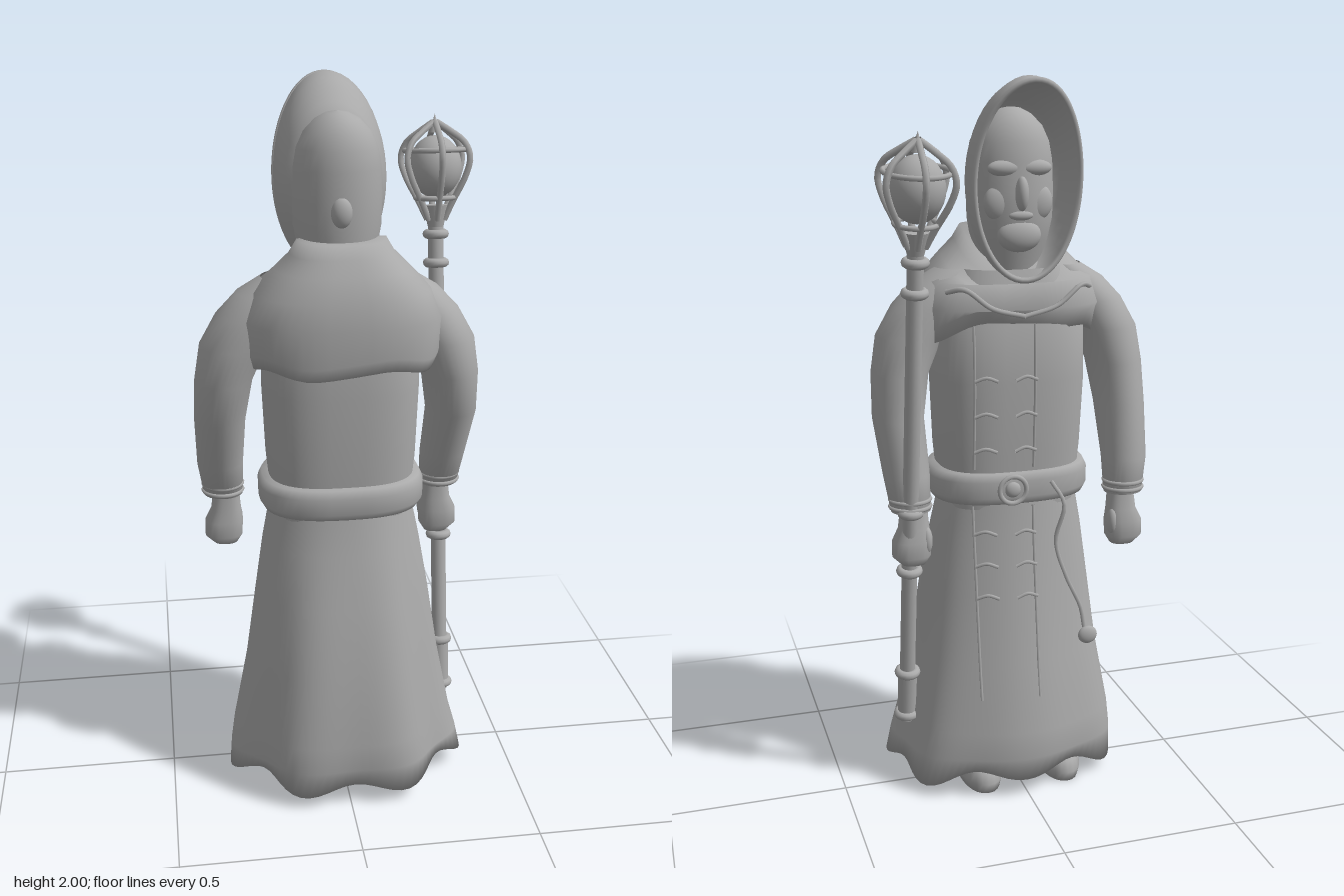
import * as THREE from 'three';

const V = (x, y, z) => new THREE.Vector3(x, y, z);

// Surface through stacked oval rings [height, centreX, centreZ, radiusX, radiusZ]
function loft(rings, seg = 40, n = 2, rule = null) {
  const pos = [], idx = [];
  const pw = (v) => Math.sign(v) * Math.abs(v) ** (2 / n);
  rings.forEach(([y, cx, cz, rx, rz], i) => {
    for (let j = 0; j < seg; j++) {
      const a = (j / seg) * Math.PI * 2;
      const p = V(cx + rx * pw(Math.cos(a)), y, cz + rz * pw(Math.sin(a)));
      if (rule) rule(p, a, i / (rings.length - 1), i);
      pos.push(p.x, p.y, p.z);
      if (i < rings.length - 1) {
        const k = (j + 1) % seg, b = i * seg, u = b + seg;
        idx.push(b + j, u + j, b + k, b + k, u + j, u + k);
      }
    }
  });
  const g = new THREE.BufferGeometry();
  g.setAttribute('position', new THREE.Float32BufferAttribute(pos, 3));
  g.setIndex(idx);
  g.computeVertexNormals();
  return g;
}

const SKIRT = [
  [0.06, 0.01, 0.06, 0.335, 0.25], [0.12, 0.005, 0.06, 0.327, 0.257], [0.2, 0, 0.06, 0.312, 0.256],
  [0.4, 0, 0.065, 0.274, 0.225], [0.6, 0, 0.06, 0.245, 0.192], [0.75, 0, 0.05, 0.221, 0.162],
  [0.87, 0, 0.045, 0.197, 0.147]];
const TORSO = [
  [0.84, 0, 0.045, 0.19, 0.14], [1.0, 0, 0.046, 0.205, 0.154], [1.2, 0, 0.041, 0.213, 0.161],
  [1.35, 0, 0.042, 0.21, 0.158], [1.5, 0, 0.05, 0.15, 0.12]];

// Depth of the robe's chest side at a given place
function robeZ(x, y) {
  const r = y < 0.87 ? SKIRT : TORSO;
  let i = 0;
  while (i < r.length - 2 && r[i + 1][0] < y) i++;
  const t = (y - r[i][0]) / (r[i + 1][0] - r[i][0]);
  const mix = (k) => THREE.MathUtils.lerp(r[i][k], r[i + 1][k], t);
  const n = y < 0.87 ? 2.1 : 2.7;
  return mix(2) - mix(4) * (1 - Math.abs(x / mix(3)) ** n) ** (1 / n);
}

export function createModel() {
  const model = new THREE.Group();
  const grey = new THREE.MeshStandardMaterial({ color: 0xaaaaaa, side: THREE.DoubleSide });
  grey.name = 'stone grey';

  const add = (name, geo, parent = model) => {
    const m = new THREE.Mesh(geo, grey);
    m.name = name;
    parent.add(m);
    return m;
  };
  const ball = (name, x, y, z, a, b, c, parent) => {
    const m = add(name, new THREE.SphereGeometry(1, 24, 16), parent);
    m.position.set(x, y, z);
    m.scale.set(a, b, c);
    return m;
  };
  const tube = (name, pts, r, parent, closed = false, seg = 24) =>
    add(name, new THREE.TubeGeometry(new THREE.CatmullRomCurve3(pts, closed), seg, r, 6, closed), parent);

  // Robe with folds that deepen towards a ragged, turned-in hem
  const lobe = (a) => Math.cos(7 * a - 1.54);
  const hem = [0.1, 0.01, 0.06, 0.25, 0.19];
  add('robeSkirt', loft([hem, ...SKIRT], 84, 2.1, (p, a, t, i) => {
    const f = 1 + 0.055 * lobe(a) * (1 - t) * (1 - 0.6 * Math.max(0, -Math.sin(a)));
    p.x *= f;
    p.z = 0.06 + (p.z - 0.06) * f;
    if (i === 1) p.y += 0.012 * Math.sin(3 * a) - 0.02 * lobe(a);
  }));
  add('robeBody', loft(TORSO, 48, 2.7));
  add('belt', loft([
    [0.855, 0, 0.047, 0.185, 0.135], [0.86, 0, 0.048, 0.217, 0.16], [0.88, 0, 0.05, 0.228, 0.17],
    [0.925, 0, 0.05, 0.229, 0.17], [0.947, 0, 0.048, 0.218, 0.162], [0.952, 0, 0.047, 0.185, 0.135]], 48, 2.6));
  const buckle = add('buckle', new THREE.TorusGeometry(0.038, 0.007, 8, 28));
  buckle.position.set(0.03, 0.905, -0.128);
  ball('buckleStud', 0.03, 0.905, -0.125, 0.022, 0.022, 0.012);

  // Short mantle: long behind, cut higher and flatter over the chest, closed round the neck
  add('mantle', loft([
    [1.29, 0, 0.06, 0.215, 0.16], [1.275, 0.003, 0.06, 0.245, 0.18], [1.31, 0.003, 0.062, 0.258, 0.187],
    [1.4, 0, 0.062, 0.265, 0.188], [1.47, 0, 0.06, 0.235, 0.18], [1.53, 0, 0.062, 0.178, 0.155],
    [1.57, 0, 0.07, 0.138, 0.12], [1.605, 0, 0.073, 0.117, 0.1], [1.6, 0, 0.05, 0.06, 0.05]],
  48, 2.6, (p, a, t, i) => {
    const chest = Math.max(0, -Math.sin(a));
    if (i < 3) {
      p.y += chest * 0.085 + 0.01 * Math.cos(5 * a);
      p.z += chest * 0.008;
    }
    if (i > 4) p.y -= chest * 0.09;
  }));

  // Head, with features towards -z
  const head = new THREE.Group();
  head.name = 'head';
  model.add(head);
  add('skull', loft([
    [1.48, -0.005, 0.04, 0.08, 0.08], [1.57, -0.005, 0.03, 0.105, 0.1], [1.63, -0.005, 0.025, 0.116, 0.112],
    [1.7, -0.005, 0.025, 0.118, 0.114], [1.78, -0.005, 0.025, 0.115, 0.112], [1.83, -0.005, 0.025, 0.106, 0.105],
    [1.87, -0.005, 0.025, 0.087, 0.092], [1.9, -0.005, 0.027, 0.058, 0.066], [1.915, -0.005, 0.03, 0.03, 0.035],
    [1.92, -0.005, 0.03, 0.001, 0.001]], 32), head);
  ball('napeBump', -0.008, 1.68, 0.132, 0.028, 0.04, 0.022, head);
  ball('nose', -0.005, 1.7, -0.09, 0.018, 0.045, 0.024, head);
  ball('chin', -0.005, 1.59, -0.065, 0.06, 0.045, 0.032, head);
  ball('mouth', -0.005, 1.643, -0.08, 0.034, 0.014, 0.014, head);
  for (const s of [-1, 1]) {
    ball('brow', -0.005 + s * 0.038, 1.765, -0.068, 0.05, 0.022, 0.022, head);
    ball('cheek', -0.005 + s * 0.05, 1.675, -0.055, 0.045, 0.05, 0.025, head);
  }

  // Hood: rings run along depth, then turn so the opening faces -z
  const lean = (y) => 0.085 * (1 - Math.exp(-Math.max(0, 1.99 - y) / 0.16));
  const hood = loft([
    [-0.045, -0.01, 1.75, 0.07, 0.12], [-0.015, -0.01, 1.74, 0.116, 0.175], [0.015, -0.01, 1.735, 0.13, 0.2],
    [0.05, -0.01, 1.735, 0.14, 0.232], [0.09, -0.01, 1.735, 0.147, 0.253], [0.135, -0.01, 1.735, 0.15, 0.264],
    [0.195, -0.01, 1.732, 0.146, 0.26]], 48, 2, (p, a, t) => {
    p.y -= lean(p.z) * t;
  });
  add('hood', hood.rotateX(-Math.PI / 2));
  const rim = [];
  for (let j = 0; j < 32; j++) {
    const a = (j / 32) * Math.PI * 2, y = 1.732 + 0.256 * Math.sin(a);
    rim.push(V(-0.01 + 0.143 * Math.cos(a), y, -0.193 + lean(y)));
  }
  tube('hoodRim', rim, 0.008, model, true, 80);

  // Sleeves, cuffs and hands
  const ARM = [
    [0.855, 0.318, -0.05, 0.001, 0.001], [0.85, 0.318, -0.05, 0.055, 0.05], [0.95, 0.325, -0.033, 0.064, 0.066],
    [1.1, 0.322, 0.012, 0.07, 0.09], [1.22, 0.31, 0.034, 0.078, 0.098], [1.32, 0.28, 0.04, 0.092, 0.1],
    [1.4, 0.235, 0.04, 0.092, 0.095], [1.46, 0.19, 0.04, 0.08, 0.085], [1.5, 0.15, 0.04, 0.055, 0.06]];
  const HAND = [
    [0.695, 0.315, -0.055, 0.001, 0.001], [0.697, 0.315, -0.055, 0.034, 0.03], [0.72, 0.32, -0.055, 0.053, 0.042],
    [0.765, 0.318, -0.055, 0.054, 0.043], [0.8, 0.312, -0.053, 0.043, 0.036], [0.87, 0.31, -0.05, 0.035, 0.033]];
  for (const s of [1, -1]) {
    const side = s > 0 ? 'left' : 'right';
    const wrist = s > 0 ? -0.018 : -0.003;
    const flip = (rings) => rings.map(([y, x, z, a, b]) => [y, s * x + (y < 1 ? wrist : -0.005), z, a, b]);
    add(side + 'Sleeve', loft(flip(ARM), 32));
    add(side + 'Hand', loft(flip(HAND), 24, 2.4));
    ball(side + 'Thumb', s * 0.28 + wrist, 0.765, -0.072, 0.016, 0.04, 0.02);
    for (const y of [0.862, 0.882]) {
      const cuff = add(side + 'Cuff', new THREE.TorusGeometry(0.055, 0.006, 6, 28));
      cuff.rotation.x = Math.PI / 2;
      cuff.position.set(s * 0.319 + wrist, y, -0.048);
    }
    // Shoe with a flat sole
    add(side + 'Shoe', loft([
      [0, 0, -0.025, 0.001, 0.001], [0.001, 0, -0.025, 0.056, 0.125], [0.03, 0, -0.025, 0.063, 0.132],
      [0.06, 0, -0.02, 0.06, 0.122], [0.1, 0, 0, 0.052, 0.095], [0.2, 0, 0.03, 0.045, 0.055]],
    24, 2.2)).position.x = s * 0.12 - 0.01;
    // Mantle cord
    tube(side + 'MantleCord', [V(s * 0.2, 1.45, -0.08), V(s * 0.16, 1.46, -0.122),
      V(s * 0.09, 1.41, -0.135), V(0, 1.385, -0.135)], 0.007);
  }

  // Seams and fastenings down the robe
  for (const x of [0.13, -0.035]) {
    const line = (y0, y1) => Array.from({ length: 8 }, (_, i) => {
      const y = y0 + ((y1 - y0) * i) / 7;
      return V(x, y, robeZ(x, y) - 0.001);
    });
    tube('upperSeam', line(0.96, 1.36), 0.004);
    tube('lowerSeam', line(0.3, 0.85), 0.004);
  }
  for (const y of [0.6, 0.69, 0.78, 1.02, 1.12, 1.22])
    for (const x of [0.1, -0.01])
      tube('fastening', [-0.03, 0, 0.03].map((d) =>
        V(x + d, y - 2 * Math.abs(d) ** 1.5, robeZ(x + d, y) - 0.003)), 0.005, model, false, 8);

  // Hanging belt cord with a tassel
  tube('beltCord', [V(-0.08, 0.92, -0.125), V(-0.11, 0.86, -0.15), V(-0.09, 0.75, -0.14),
    V(-0.12, 0.64, -0.15), V(-0.16, 0.55, -0.155), V(-0.17, 0.49, -0.16)], 0.006);
  ball('tassel', -0.178, 0.468, -0.168, 0.028, 0.026, 0.013);

  // Staff, built upright and then tilted
  const staff = new THREE.Group();
  staff.name = 'staff';
  const foot = V(0.312, 0.19, 0.014), tip = V(0.302, 1.86, -0.226);
  staff.position.copy(foot);
  staff.quaternion.setFromUnitVectors(V(0, 1, 0), tip.clone().sub(foot).normalize());
  model.add(staff);
  add('shaft', new THREE.CylinderGeometry(0.022, 0.022, 1.43, 16), staff).position.y = 0.715;
  add('ferrule', new THREE.CylinderGeometry(0.028, 0.026, 0.14, 16), staff).position.y = 0.08;
  for (const y of [0.02, 0.16, 0.49, 0.67, 1.29, 1.37]) {
    const knob = add('staffRing', new THREE.TorusGeometry(0.024, 0.013, 10, 24), staff);
    knob.rotation.x = Math.PI / 2;
    knob.position.y = y;
  }
  add('socket', new THREE.CylinderGeometry(0.036, 0.022, 0.06, 16), staff).position.y = 1.42;
  ball('orb', 0, 1.555, 0, 0.073, 0.085, 0.073, staff);
  add('finial', new THREE.ConeGeometry(0.016, 0.05, 12), staff).position.y = 1.672;
  for (const [y, r] of [[1.6, 0.085], [1.47, 0.055]]) {
    const hoop = add('cageHoop', new THREE.TorusGeometry(r, 0.007, 8, 36), staff);
    hoop.rotation.x = Math.PI / 2;
    hoop.position.y = y;
  }
  for (let i = 0; i < 6; i++) {
    const a = (i / 6) * Math.PI * 2 + Math.PI / 6;
    const at = (r, y) => V(r * Math.cos(a), y, r * Math.sin(a));
    tube('cageRib', [at(0.025, 1.41), at(0.05, 1.46), at(0.088, 1.53), at(0.101, 1.58),
      at(0.085, 1.62), at(0.045, 1.65), at(0.005, 1.675)], 0.009, staff);
  }
  return model;
}
